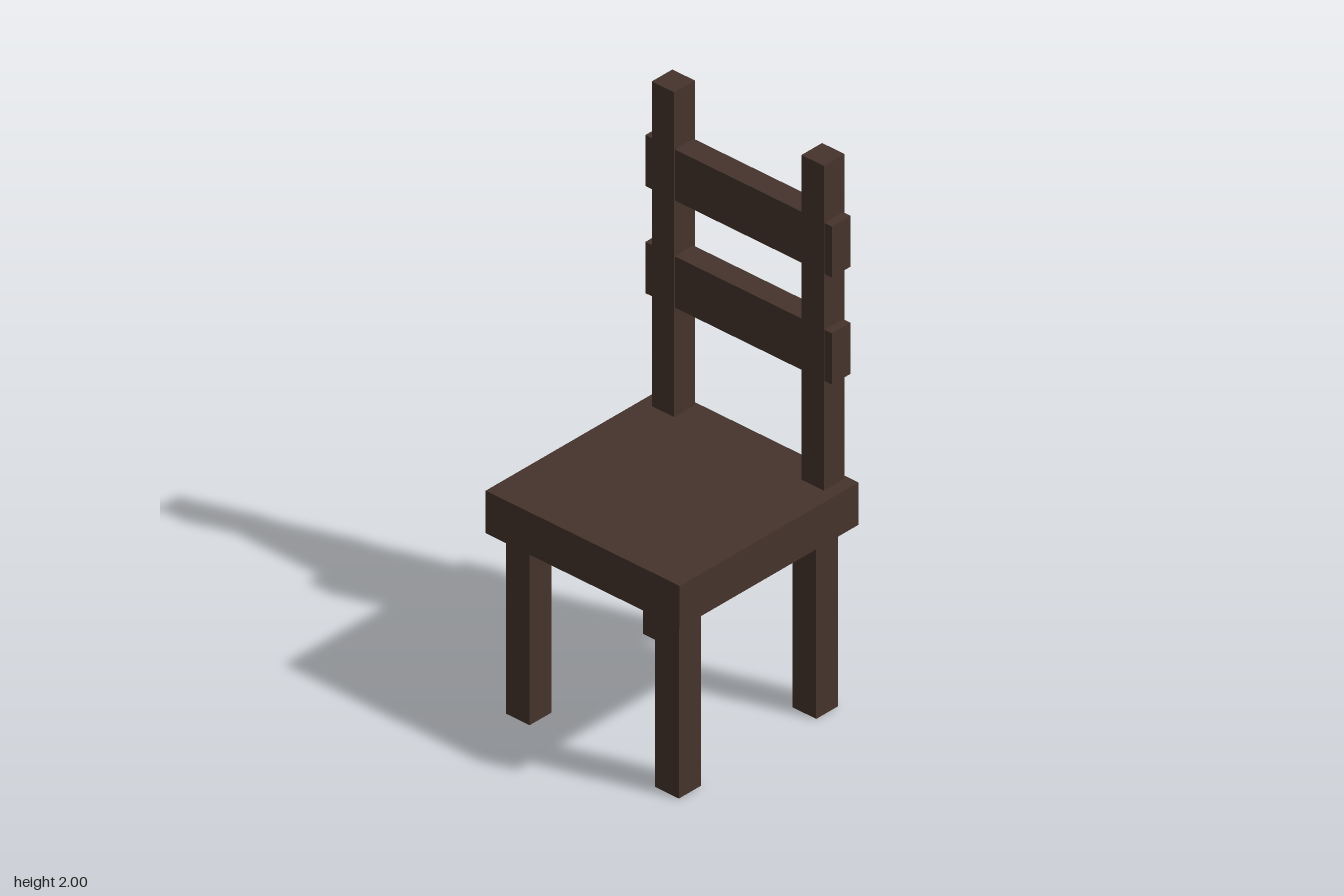
import * as THREE from 'three';

export function createModel() {
  const model = new THREE.Group();
  const darkWood = new THREE.MeshStandardMaterial({ color: 0x46342c });
  darkWood.name = 'darkWood';

  // Box centred on x and z, spanning y0 to y1
  function box(name, width, depth, y0, y1, x, z) {
    const mesh = new THREE.Mesh(new THREE.BoxGeometry(width, y1 - y0, depth), darkWood);
    mesh.name = name;
    mesh.position.set(x, (y0 + y1) / 2, z);
    model.add(mesh);
  }

  // Seat slab
  box('seat', 0.814, 0.814, 0.66, 0.815, 0, 0);

  for (const [side, s] of [['left', 1], ['right', -1]]) {
    // Legs
    box(side + 'FrontLeg', 0.1, 0.1, 0, 0.66, s * 0.313, 0.313);
    box(side + 'BackLeg', 0.1, 0.1, 0, 0.66, s * 0.313, -0.313);
    // Backrest post
    box(side + 'BackPost', 0.094, 0.094, 0.815, 2, s * 0.314, -0.347);
  }

  // Backrest slats, slightly thinner than the posts and poking out past them
  box('lowerSlat', 0.782, 0.085, 1.213, 1.4, 0, -0.346);
  box('upperSlat', 0.782, 0.085, 1.604, 1.79, 0, -0.346);

  return model;
}
